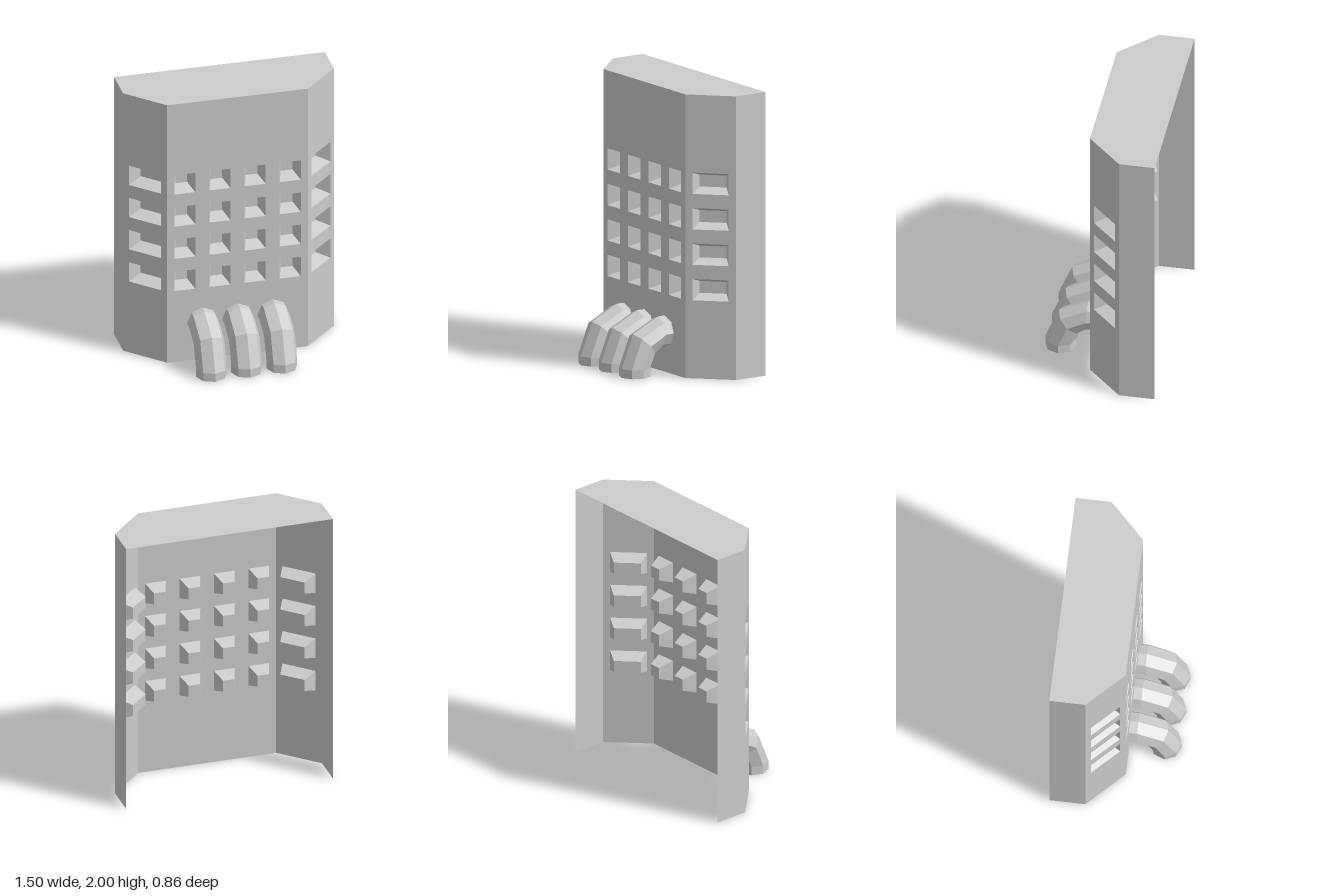
import * as THREE from 'three';

const material = new THREE.MeshStandardMaterial({ color: 0xcccccc, flatShading: true, side: THREE.DoubleSide });
const HEIGHT = 2;
const DEPTH = 0.1; // how far a pocket sinks in
const INSET = 0.033; // how much a pocket narrows on each side
const POCKET_H = 0.15;
const ROWS = [0.625, 0.875, 1.125, 1.375];

function addMesh(parent, name, geometry) {
  const mesh = new THREE.Mesh(geometry, material);
  mesh.name = name;
  parent.add(mesh);
  return mesh;
}

// Joins successive closed rings of points with flat quads
function loft(rings) {
  const positions = [];
  for (let r = 0; r < rings.length - 1; r++) {
    const n = rings[r].length;
    for (let i = 0; i < n; i++) {
      const j = (i + 1) % n;
      const [a, b, c, d] = [rings[r][i], rings[r][j], rings[r + 1][j], rings[r + 1][i]];
      for (const p of [a, b, d, b, c, d]) positions.push(...p);
    }
  }
  const geometry = new THREE.BufferGeometry();
  geometry.setAttribute('position', new THREE.Float32BufferAttribute(positions, 3));
  geometry.computeVertexNormals();
  return geometry;
}

function rectangle(cx, cy, w, h) {
  return [[-1, -1], [1, -1], [1, 1], [-1, 1]].map(([sx, sy]) => [cx + (sx * w) / 2, cy + (sy * h) / 2]);
}

const toPoints = (corners) => corners.map(([x, y]) => new THREE.Vector2(x, y));

// Upright wall with a grid of tapered pockets sunk behind its face
function makePanel(name, width, columns, pocketWidth) {
  const panel = new THREE.Group();
  panel.name = name;
  const shape = new THREE.Shape(toPoints(rectangle(0, HEIGHT / 2, width, HEIGHT)));
  for (const x of columns) {
    for (const y of ROWS) {
      const rim = rectangle(x, y, pocketWidth, POCKET_H);
      const floorW = pocketWidth - 2 * INSET;
      const floorH = POCKET_H - 2 * INSET;
      const floor = rectangle(x, y, floorW, floorH);
      shape.holes.push(new THREE.Path(toPoints(rim).reverse()));
      addMesh(panel, 'pocketSides', loft([rim.map((p) => [...p, 0]), floor.map((p) => [...p, -DEPTH])]));
      addMesh(panel, 'pocketFloor', new THREE.PlaneGeometry(floorW, floorH)).position.set(x, y, -DEPTH);
    }
  }
  addMesh(panel, 'wall', new THREE.ShapeGeometry(shape));
  return panel;
}

// Open octagonal pipe bending from the front wall down to the ground
function makePipe() {
  const radius = 0.109;
  // ring centre y, z and the tilt of the ring
  const stations = [
    [0.288, 0.07, 0],
    [0.288, 0.128, 0],
    [0.218, 0.258, Math.PI / 4],
    [0.062, 0.321, Math.PI / 2],
    [0, 0.321, Math.PI / 2],
  ];
  return loft(stations.map(([y, z, tilt]) =>
    Array.from({ length: 8 }, (_, i) => {
      const a = (i * Math.PI) / 4;
      const out = radius * Math.sin(a);
      return [radius * Math.cos(a), y + out * Math.cos(tilt), z + out * Math.sin(tilt)];
    })));
}

export function createModel() {
  const model = new THREE.Group();
  model.name = 'ventedHousing';

  // Front wall
  const front = makePanel('frontPanel', 1, [-0.375, -0.125, 0.125, 0.375], 0.15);
  front.position.z = 0.07;
  model.add(front);

  // Angled corners and plain sides; the back and the bottom stay open
  for (const [label, s] of [['left', 1], ['right', -1]]) {
    const corner = makePanel(label + 'CornerPanel', 0.25 * Math.SQRT2, [0], 0.255);
    corner.position.set(s * 0.625, 0, -0.055);
    corner.rotation.y = (s * Math.PI) / 4;
    model.add(corner);

    const side = addMesh(model, label + 'SidePanel', new THREE.PlaneGeometry(0.25, HEIGHT));
    side.position.set(s * 0.75, HEIGHT / 2, -0.305);
    side.rotation.y = (s * Math.PI) / 2;
  }

  // Roof
  const outline = [[-0.75, 0.43], [-0.75, 0.18], [-0.5, -0.07], [0.5, -0.07], [0.75, 0.18], [0.75, 0.43]];
  const roof = addMesh(model, 'roof', new THREE.ShapeGeometry(new THREE.Shape(toPoints(outline))));
  roof.rotation.x = -Math.PI / 2;
  roof.position.y = HEIGHT;

  // Row of pipes
  const pipe = makePipe();
  for (const x of [-0.25, 0, 0.25]) addMesh(model, 'pipe', pipe).position.x = x;

  return model;
}
